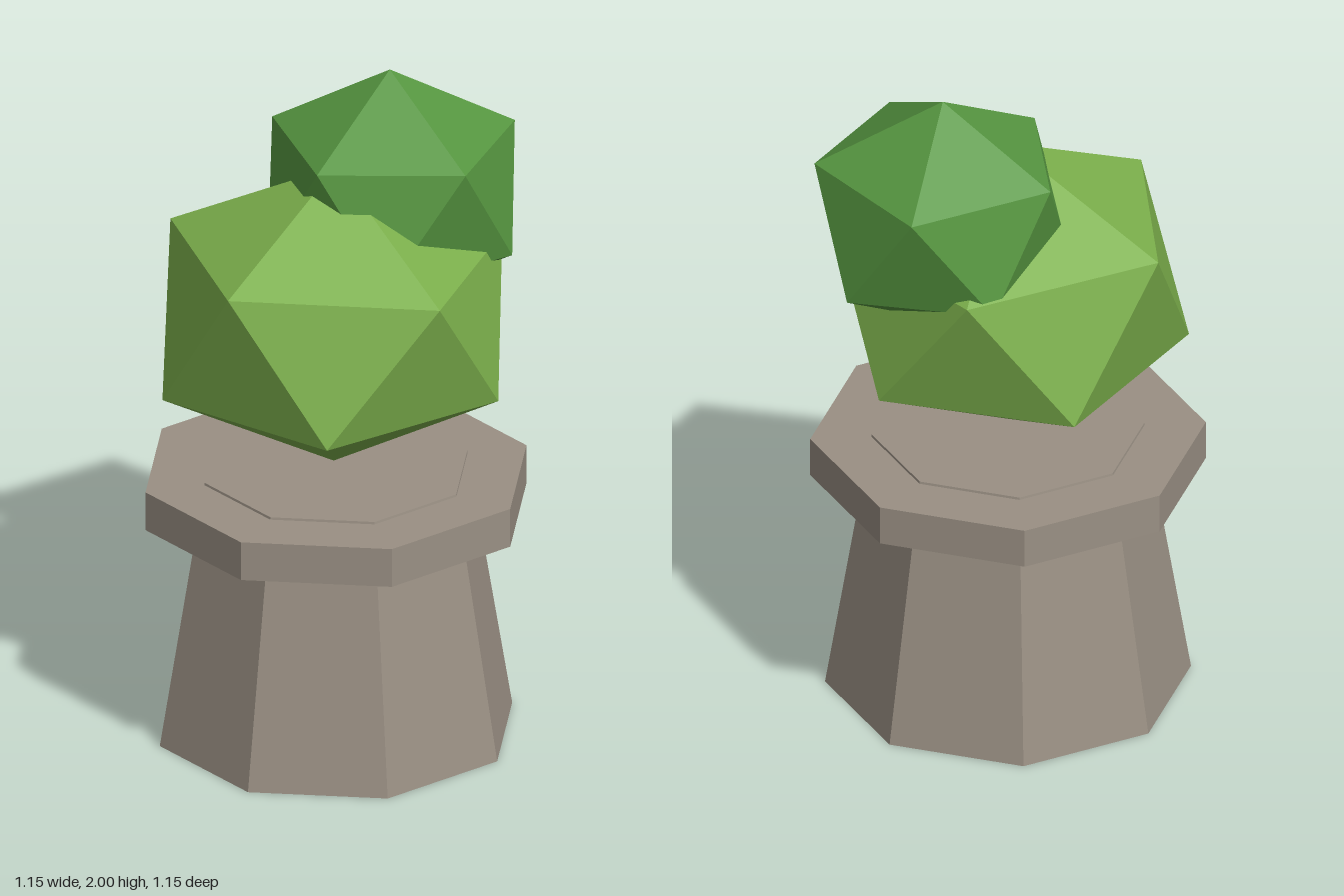
import * as THREE from 'three';

const material = (color) => new THREE.MeshStandardMaterial({ color, flatShading: true });

function addMesh(group, name, geometry, mat, y = 0) {
  const mesh = new THREE.Mesh(geometry, mat);
  mesh.name = name;
  mesh.position.y = y;
  group.add(mesh);
}

// Irregular twenty-sided clump: a top point, two rings of five and a bottom point.
// Both rings run from +x towards +z; lower point i sits between upper points i and i + 1.
function clump(top, upper, lower, bottom) {
  const corners = [];
  for (let i = 0; i < 5; i++) {
    const j = (i + 1) % 5;
    corners.push(
      top, upper[j], upper[i],
      upper[i], upper[j], lower[i],
      upper[j], lower[j], lower[i],
      bottom, lower[i], lower[j],
    );
  }
  const geometry = new THREE.BufferGeometry();
  geometry.setAttribute('position', new THREE.Float32BufferAttribute(corners.flat(), 3));
  geometry.computeVertexNormals();
  return geometry;
}

export function createModel() {
  const model = new THREE.Group();
  model.name = 'pottedBush';

  // Eight-sided tapered pot, standing just proud of its rim
  const stone = material(0x9a9084);
  addMesh(model, 'pot', new THREE.CylinderGeometry(0.395, 0.53, 0.82, 8), stone, 0.41);
  addMesh(model, 'potRim', new THREE.CylinderGeometry(0.573, 0.573, 0.12, 8), stone, 0.753);

  // Large light green clump
  addMesh(model, 'lowerFoliage', clump(
    [0, 1.775, 0],
    [[0.5, 1.5, 0], [0.17, 1.51, 0.485], [-0.41, 1.53, 0.29], [-0.41, 1.53, -0.3], [0.16, 1.51, -0.488]],
    [[0.4, 1.11, 0.3], [-0.17, 1.11, 0.487], [-0.525, 1.105, 0.01], [-0.15, 1.11, -0.5], [0.4, 1.115, -0.31]],
    [-0.01, 0.845, 0.01],
  ), material(0x7cb04c));

  // Small dark green clump, offset to one side and sunk into the large one
  addMesh(model, 'upperFoliage', clump(
    [0.2, 2, -0.13],
    [[0.57, 1.8, -0.11], [0.325, 1.8, 0.22], [-0.085, 1.8, 0.095], [-0.095, 1.8, -0.33], [0.32, 1.79, -0.48]],
    [[0.505, 1.465, 0.085], [0.09, 1.47, 0.22], [-0.17, 1.47, -0.12], [0.08, 1.47, -0.465], [0.495, 1.465, -0.34]],
    [0.2, 1.27, -0.13],
  ), material(0x569640));

  return model;
}
